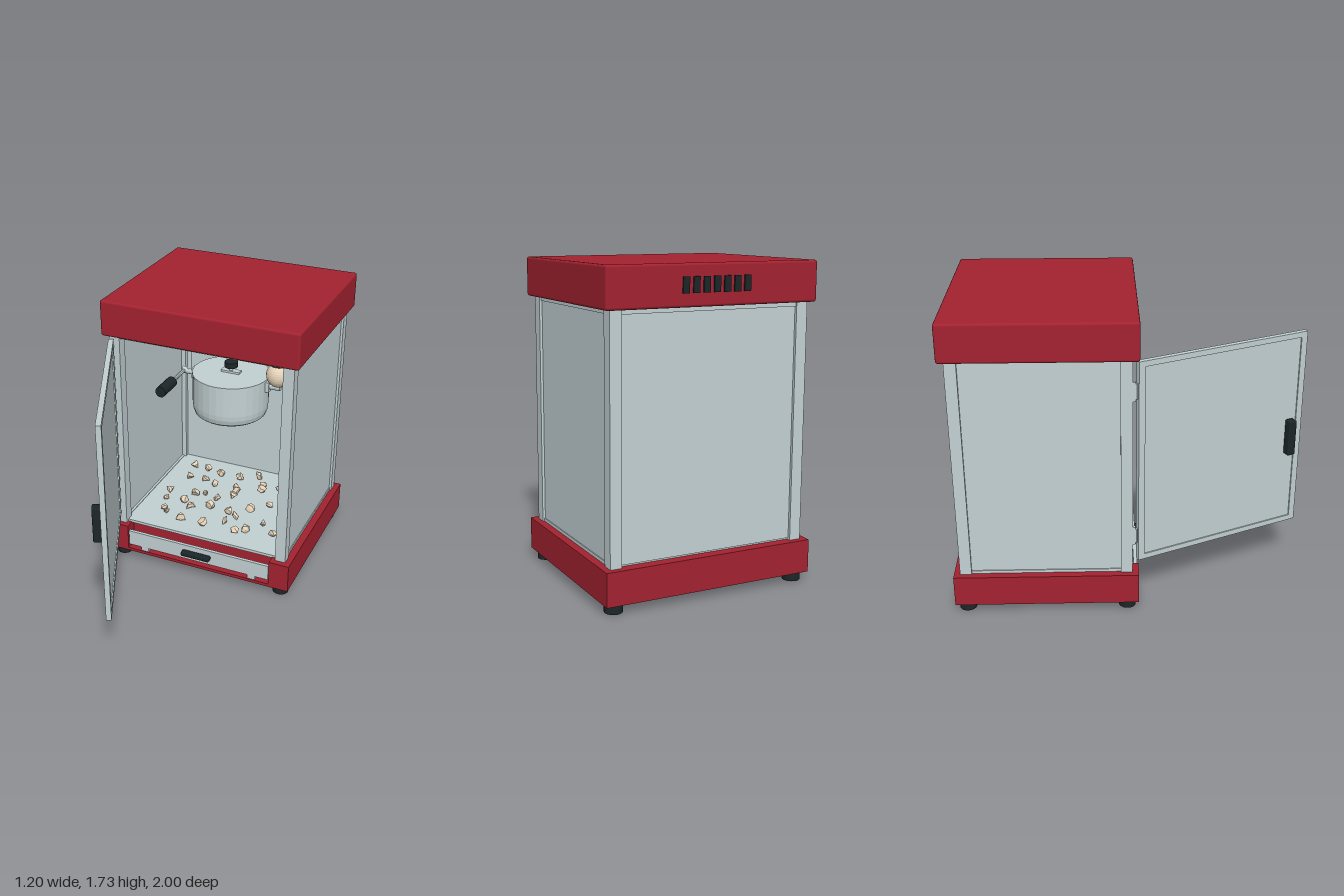
import * as THREE from 'three';
import { RoundedBoxGeometry } from 'three/addons/geometries/RoundedBoxGeometry.js';

const mat = (name, color) => {
  const m = new THREE.MeshStandardMaterial({ color });
  m.name = name;
  return m;
};

// Faceted normals for low-poly turned parts
const facet = (geo) => {
  const g = geo.index ? geo.toNonIndexed() : geo;
  g.computeVertexNormals();
  return g;
};

export function createModel() {
  const red = mat('red enamel', 0xa32230);
  const steel = mat('pale steel', 0xc3d1d3);
  const black = mat('black plastic', 0x1c2628);
  const cream = mat('cream', 0xe6d3b9);

  const model = new THREE.Group();
  model.name = 'popcornMachine';

  const add = (name, geo, m, x = 0, y = 0, z = 0, parent = model) => {
    const mesh = new THREE.Mesh(geo, m);
    mesh.name = name;
    mesh.position.set(x, y, z);
    parent.add(mesh);
    return mesh;
  };
  // Box given by its lower and upper limits, optionally rounded
  const box = (name, m, [x0, x1], [y0, y1], [z0, z1], parent = model, r = 0) => {
    const s = [x1 - x0, y1 - y0, z1 - z0];
    const geo = r ? new RoundedBoxGeometry(...s, 2, r) : new THREE.BoxGeometry(...s);
    return add(name, geo, m, (x0 + x1) / 2, (y0 + y1) / 2, (z0 + z1) / 2, parent);
  };
  const group = (name, parent = model) => {
    const g = new THREE.Group();
    g.name = name;
    parent.add(g);
    return g;
  };
  const cyl = (r, h, n = 16) => facet(new THREE.CylinderGeometry(r, r, h, n));

  // Roof with rear vents
  box('roof', red, [-0.6, 0.6], [1.51, 1.725], [-0.99, 0.05], model, 0.014);
  for (let i = 0; i < 7; i++) {
    const x = (i - 3) * 0.058;
    box('ventSlot', black, [x - 0.018, x + 0.018], [1.58, 1.66], [-0.999, -0.989]);
  }

  // Base with a drawer recess between two front blocks
  box('base', red, [-0.6, 0.6], [0.05, 0.23], [-0.99, -0.03]);
  box('baseSill', red, [-0.475, 0.475], [0.05, 0.07], [-0.03, 0.05]);
  for (const s of [-1, 1]) {
    const block = box('baseFrontBlock', red, [0.475, 0.6], [0.05, 0.23], [-0.03, 0.05]);
    block.position.x *= s;
    for (const z of [-0.015, -0.925]) add('foot', new THREE.CylinderGeometry(0.048, 0.048, 0.055, 24), black, s * 0.535, 0.0275, z);
  }

  // Drawer
  const drawer = group('drawer');
  box('drawerFront', steel, [-0.47, 0.47], [0.095, 0.195], [0.025, 0.045], drawer);
  box('drawerTray', steel, [-0.46, 0.46], [0.095, 0.11], [-0.03, 0.025], drawer);
  box('drawerHandle', black, [-0.094, 0.094], [0.135, 0.165], [0.045, 0.085], drawer, 0.008);
  for (const x of [-0.36, 0.36]) box('drawerRunner', steel, [x - 0.025, x + 0.025], [0.07, 0.095], [-0.02, 0.045], drawer);

  // Cabinet: corner posts, side walls, rails, back wall and floor
  for (const s of [-1, 1]) {
    for (const z of [-0.018, -0.923]) {
      add('cornerPost', new THREE.BoxGeometry(0.065, 1.28, 0.065), steel, s * 0.5325, 1.87 / 2 - 0.065, z)
        .position.y = 0.87;
    }
    add('sideWall', new THREE.BoxGeometry(0.02, 1.25, 0.85), steel, s * 0.54, 0.865, -0.47);
    for (const y of [0.235, 1.5]) add('sideRail', new THREE.BoxGeometry(0.04, 0.025, 0.85), steel, s * 0.535, y, -0.47);
  }
  box('backWall', steel, [-0.505, 0.505], [0.24, 1.49], [-0.94, -0.92]);
  box('backRail', steel, [-0.505, 0.505], [1.487, 1.512], [-0.95, -0.91]);
  box('frontRail', steel, [-0.505, 0.505], [1.49, 1.512], [-0.035, 0.005]);
  box('floor', steel, [-0.525, 0.525], [0.225, 0.243], [-0.93, -0.01]);

  // Open door, hinged on the right-hand post
  const door = group('door');
  const L = 1.053;
  door.position.set(-0.54, 0, 0.04);
  door.rotation.y = THREE.MathUtils.degToRad(-65);
  box('doorPane', steel, [0.03, L - 0.03], [0.33, 1.47], [-0.008, 0.008], door);
  for (const x of [0, L - 0.038]) box('doorStile', steel, [x, x + 0.038], [0.3, 1.495], [-0.015, 0.015], door);
  for (const y of [0.3, 1.463]) box('doorRail', steel, [0.038, L - 0.038], [y, y + 0.032], [-0.015, 0.015], door);
  box('doorHandle', black, [0.94, 0.99], [0.765, 0.98], [0.015, 0.065], door, 0.008);
  for (const y of [0.465, 1.333]) {
    box('hingeLeaf', steel, [-0.565, -0.545], [y - 0.055, y + 0.055], [0.01, 0.03]);
    add('hingePin', cyl(0.01, 0.085, 10), steel, -0.555, y, 0.032);
  }

  // Kettle with lid and knob
  const kettle = group('kettle');
  kettle.position.set(0, 0, -0.47);
  const profile = [[0, 0.905], [0.205, 0.905], [0.222, 0.918], [0.232, 0.95], [0.235, 0.98], [0.235, 1.16]];
  add('kettlePot', facet(new THREE.LatheGeometry(profile.map(([r, y]) => new THREE.Vector2(r, y)), 32)), steel, 0, 0, 0, kettle);
  add('kettleLid', cyl(0.238, 0.014, 32), steel, 0, 1.166, 0, kettle);
  box('lidStrap', steel, [-0.06, 0.06], [1.172, 1.186], [-0.02, 0.02], kettle);
  add('lidStem', cyl(0.012, 0.04), steel, 0, 1.195, 0, kettle);
  add('lidKnob', cyl(0.041, 0.033, 20), black, 0, 1.226, 0, kettle);

  // Hanger rods and pivots on both sides of the kettle
  for (const s of [-1, 1]) {
    add('hangerRod', cyl(0.015, 0.39, 12), steel, s * 0.28, 1.315, 0, kettle);
    add('pivot', cyl(0.022, 0.09, 14), steel, s * 0.278, 1.13, 0, kettle).rotation.z = Math.PI / 2;
    add('pivotLug', new THREE.BoxGeometry(0.025, 0.065, 0.05), steel, s * 0.243, 1.125, 0, kettle);
  }

  // Tilting handle
  add('crankArm', cyl(0.012, 0.2, 10), steel, -0.31, 1.13, 0.1, kettle).rotation.x = Math.PI / 2;
  add('crankGrip', cyl(0.034, 0.16, 14), black, -0.31, 1.13, 0.27, kettle).rotation.x = Math.PI / 2;

  // Lamp
  add('lampSocket', cyl(0.052, 0.15, 20), black, 0.364, 1.437, -0.3);
  const bulb = add('lampBulb', facet(new THREE.SphereGeometry(0.071, 24, 16)), cream, 0.364, 1.298, -0.3);
  bulb.scale.y = 1.08;

  // Scattered popcorn kernels
  let seed = 11;
  const rnd = () => (seed = (seed * 16807) % 2147483647) / 2147483647;
  const popcorn = group('popcorn');
  for (let i = 0; i < 40; i++) {
    const geo = new THREE.IcosahedronGeometry(0.025, 0);
    const p = geo.attributes.position;
    const v = new THREE.Vector3();
    const k = rnd() * 6;
    for (let j = 0; j < p.count; j++) {
      v.fromBufferAttribute(p, j);
      v.multiplyScalar(1 + 0.4 * Math.sin(v.x * 130 + v.y * 190 + v.z * 160 + k));
      p.setXYZ(j, v.x, v.y, v.z);
    }
    // An even grid with jitter keeps the kernels apart
    const x = -0.38 + (i % 8) * 0.108 + (rnd() - 0.5) * 0.09;
    const z = -0.76 + Math.floor(i / 8) * 0.145 + (rnd() - 0.5) * 0.11;
    const kernel = add('kernel', facet(geo), cream, x, 0.264, z, popcorn);
    kernel.rotation.set(rnd() * 6, rnd() * 6, rnd() * 6);
  }

  return model;
}
